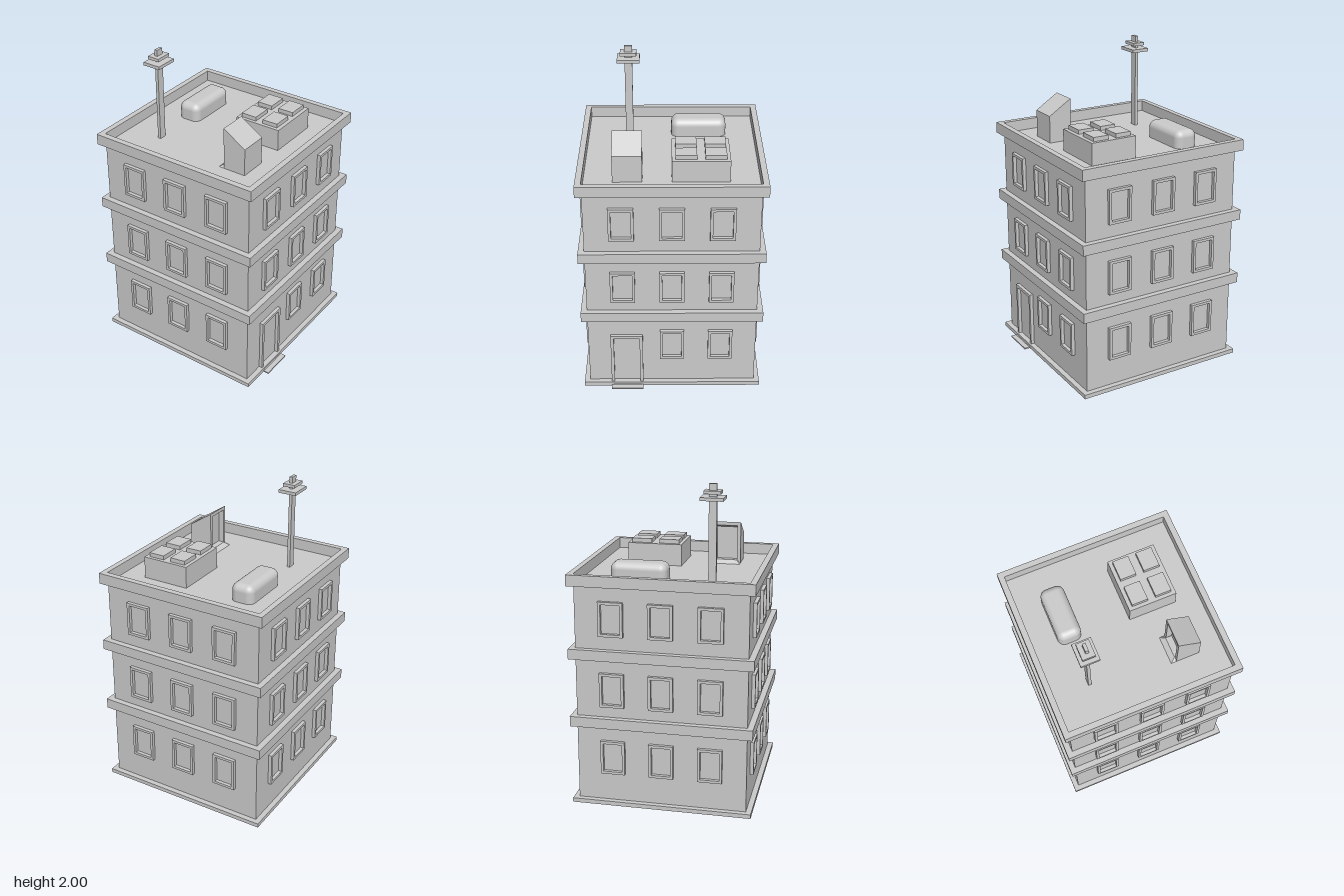
import * as THREE from 'three';
import { RoundedBoxGeometry } from 'three/addons/geometries/RoundedBoxGeometry.js';

const mat = new THREE.MeshStandardMaterial({ color: 0xcccccc });
const CZ = -0.0175; // depth centre of the building
const WALL = 0.53, BAND = 0.567, ROOF = 1.405;

function add(parent, name, geometry) {
  const mesh = new THREE.Mesh(geometry, mat);
  mesh.name = name;
  parent.add(mesh);
  return mesh;
}

// Box given by its limits on each axis
function box(parent, name, x0, x1, y0, y1, z0, z1) {
  const mesh = add(parent, name, new THREE.BoxGeometry(x1 - x0, y1 - y0, z1 - z0));
  mesh.position.set((x0 + x1) / 2, (y0 + y1) / 2, (z0 + z1) / 2);
  return mesh;
}

// Rectangular frame with an opening, extruded towards +z
function frameGeometry(w, h, rim, depth) {
  const rect = (Type, a, b) => new Type([[-a, -b], [a, -b], [a, b], [-a, b]].map(p => new THREE.Vector2(...p)));
  const shape = rect(THREE.Shape, w / 2, h / 2);
  shape.holes.push(rect(THREE.Path, w / 2 - rim, h / 2 - rim));
  return new THREE.ExtrudeGeometry(shape, { depth, bevelEnabled: false });
}

// Side profile of (z, y) points extruded along x, centred on x
function profile(parent, name, points, x, width) {
  const shape = new THREE.Shape(points.map(p => new THREE.Vector2(...p)));
  const geo = new THREE.ExtrudeGeometry(shape, { depth: width, bevelEnabled: false });
  geo.translate(0, 0, -width / 2).rotateY(-Math.PI / 2);
  const mesh = add(parent, name, geo);
  mesh.position.x = x;
  return mesh;
}

export function createModel() {
  const model = new THREE.Group();
  model.name = 'apartmentBuilding';

  // Walls, plinth and floor bands
  box(model, 'walls', -WALL, WALL, 0, ROOF, CZ - WALL, CZ + WALL);
  box(model, 'plinth', -0.564, 0.564, 0, 0.027, CZ - 0.564, CZ + 0.564);
  for (const y of [0.514, 0.949]) {
    box(model, 'floorBand', -BAND, BAND, y, y + 0.065, CZ - BAND, CZ + BAND);
  }

  // Roof parapet
  const parapet = add(model, 'parapet', frameGeometry(BAND * 2, BAND * 2, BAND - WALL, 0.069));
  parapet.rotation.x = -Math.PI / 2;
  parapet.position.set(0, ROOF, CZ);

  // Windows on all four sides; the door takes one place at the front
  const windowGeo = frameGeometry(0.153, 0.216, 0.017, 0.022);
  for (let side = 0; side < 4; side++) {
    const face = new THREE.Group();
    face.name = ['front', 'left', 'back', 'right'][side] + 'Windows';
    face.position.z = CZ;
    face.rotation.y = side * Math.PI / 2;
    for (const [floor, y] of [0.316, 0.757, 1.207].entries()) {
      for (const x of [-0.304, 0, 0.304]) {
        if (side === 0 && floor === 0 && x < 0) continue;
        add(face, 'windowFrame', windowGeo).position.set(x, y, WALL);
      }
    }
    model.add(face);
  }

  // Front door with a sloped doorstep
  const door = new THREE.Group();
  door.name = 'frontDoor';
  add(door, 'doorFrame', frameGeometry(0.204, 0.387, 0.02, 0.022)).position.set(-0.287, 0.1935, CZ + WALL);
  box(door, 'doorstep', -0.389, -0.185, 0, 0.009, 0.5, 0.584);
  const sill = add(door, 'doorSill', new THREE.BoxGeometry(0.2, 0.022, 0.06));
  taperTop(sill.geometry, 0.8, 0.022, 1);
  sill.position.set(-0.287, 0.011, 0.53);
  model.add(door);

  // Roof access hood with a recessed doorway at the back
  const hood = new THREE.Group();
  hood.name = 'roofHood';
  const hx = -0.266, hw = 0.179, rim = 0.022;
  profile(hood, 'hoodBody', [[0.362, ROOF], [0.362, 1.578], [0.25, 1.65], [0.25, ROOF]], hx, hw);
  for (const s of [-1, 1]) {
    profile(hood, 'hoodPost', [[0.25, ROOF], [0.25, 1.65], [0.214, 1.673], [0.214, ROOF]],
      hx + s * (hw - rim) / 2, rim);
  }
  profile(hood, 'hoodLintel', [[0.25, 1.635], [0.25, 1.65], [0.214, 1.673], [0.214, 1.65]], hx, hw - rim * 2);
  const ramp = add(hood, 'hoodSill', new THREE.BoxGeometry(hw, 0.022, 0.07));
  taperTop(ramp.geometry, 0.74, 0.03, -1);
  ramp.position.set(hx, ROOF + 0.011, 0.215);
  model.add(hood);

  // Cooling unit with four fan covers
  const cooler = new THREE.Group();
  cooler.name = 'coolingUnit';
  box(cooler, 'coolerBody', 0, 0.35, ROOF, 1.543, 0.06, 0.363);
  for (const x of [0.086, 0.264]) {
    for (const z of [0.135, 0.287]) {
      box(cooler, 'fanCover', x - 0.064, x + 0.064, 1.543, 1.569, z - 0.051, z + 0.051);
    }
  }
  model.add(cooler);

  // Rounded tank, its underside sunk into the roof
  add(model, 'tank', new RoundedBoxGeometry(0.35, 0.156, 0.15, 4, 0.045)).position.set(0.176, 1.438, -0.319);

  // Antenna mast with two plates
  const mast = new THREE.Group();
  mast.name = 'antenna';
  box(mast, 'mastPole', -0.292, -0.244, ROOF, 2, -0.329, -0.309);
  box(mast, 'lowerPlate', -0.339, -0.197, 1.904, 1.924, -0.377, -0.261);
  box(mast, 'upperPlate', -0.32, -0.217, 1.942, 1.961, -0.358, -0.28);
  model.add(mast);

  return model;
}

// Narrow a box's top in x and pull its outer top edge (side dir of z) inwards
function taperTop(geo, scaleX, pull, dir) {
  const p = geo.attributes.position;
  for (let i = 0; i < p.count; i++) {
    if (p.getY(i) < 0) continue;
    p.setX(i, p.getX(i) * scaleX);
    if (p.getZ(i) * dir > 0) p.setZ(i, p.getZ(i) - pull * dir);
  }
  geo.computeVertexNormals();
}
